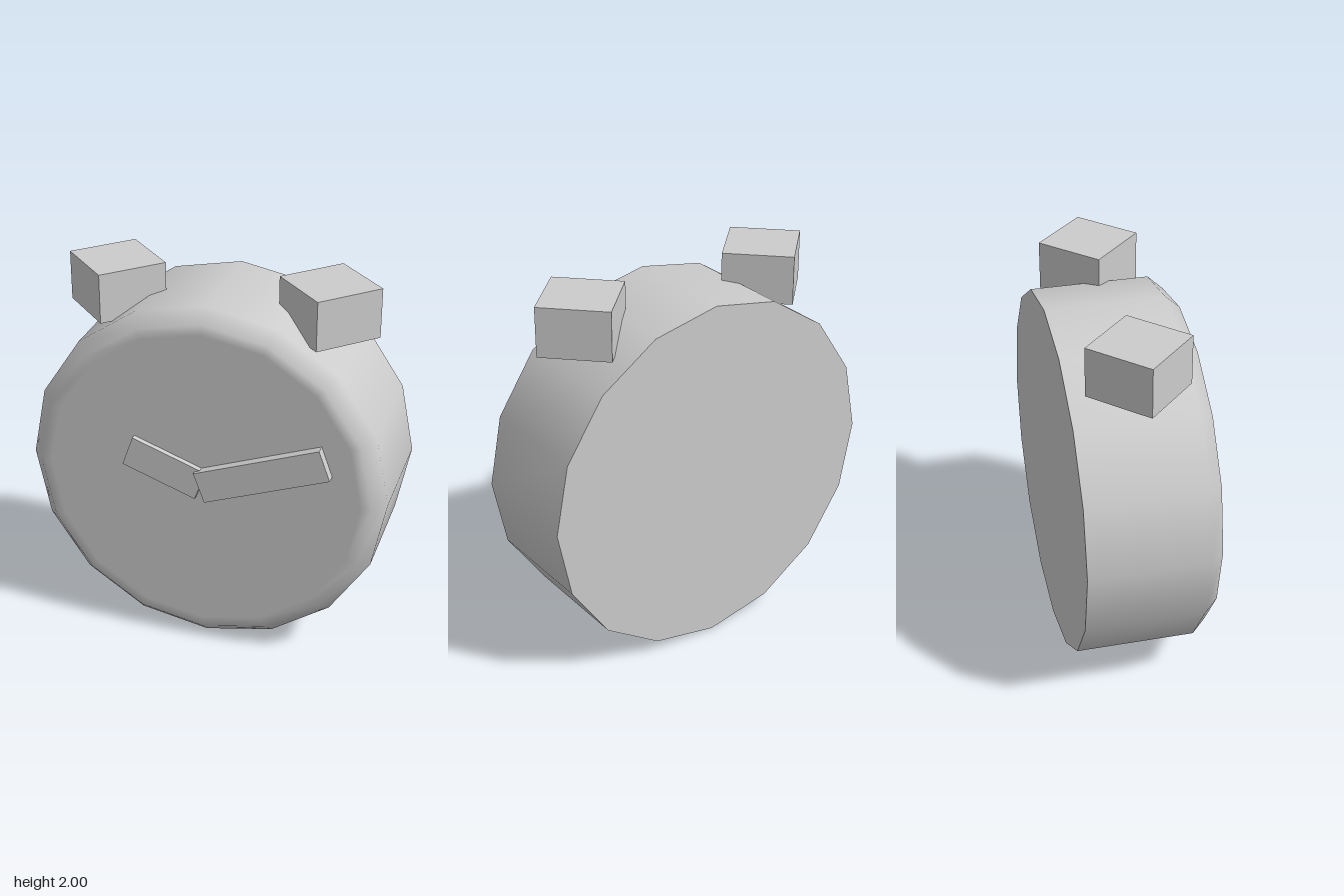
import * as THREE from 'three';

const CENTRE_Y = 0.958, RADIUS = 0.954, BACK = -0.37, FRONT = 0.32, SIDES = 16;

export function createModel() {
  const group = new THREE.Group();
  group.name = 'alarmClock';
  const grey = new THREE.MeshStandardMaterial({ color: 0xcccccc });
  grey.name = 'light grey';

  const add = (name, geometry, x, y, z) => {
    const mesh = new THREE.Mesh(geometry, grey);
    mesh.name = name;
    mesh.position.set(x, y, z);
    group.add(mesh);
    return mesh;
  };

  // Round case with a softly shaded front bevel
  const profile = [
    [RADIUS, BACK], [RADIUS, 0.245], [0.886, FRONT], [0.83, FRONT], [0, FRONT],
  ].map(([r, z]) => new THREE.Vector2(r, z));
  const shell = new THREE.LatheGeometry(profile, SIDES).rotateX(Math.PI / 2);
  add('case', shell, 0, CENTRE_Y, 0);

  // Flat back, with a sharp rim
  const back = new THREE.CircleGeometry(RADIUS, SIDES).rotateY(Math.PI);
  add('backPlate', back, 0, CENTRE_Y, BACK);

  // Bells: square blocks turned cornerwise
  for (const [name, side] of [['leftBell', 1], ['rightBell', -1]]) {
    const bell = add(name, new THREE.BoxGeometry(0.367, 0.26, 0.367), side * 0.557, 1.87, -0.027);
    bell.rotation.y = Math.PI / 4;
  }

  // Hands: the minute hand lies over the hour hand
  const hand = (name, length, x, y, top, degrees) => {
    const depth = top - FRONT + 0.02;
    const mesh = add(name, new THREE.BoxGeometry(length, 0.17, depth), x, y, top - depth / 2);
    mesh.rotation.z = THREE.MathUtils.degToRad(degrees);
  };
  hand('hourHand', 0.415, -0.195, 1.03, 0.35, -20);
  hand('minuteHand', 0.693, 0.326, 1.078, 0.372, 20);

  return group;
}
